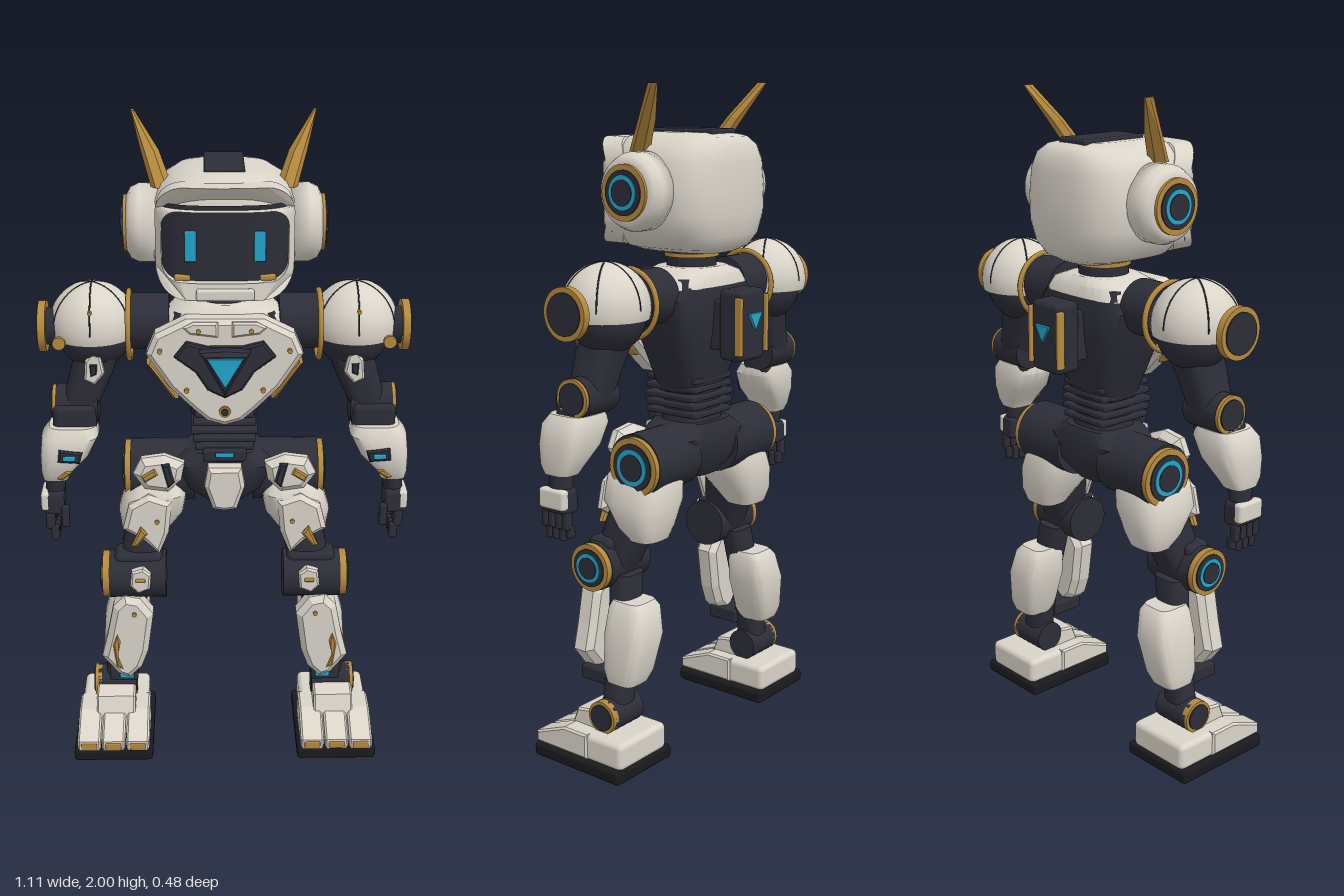
import * as THREE from 'three';
import { toCreasedNormals } from 'three/addons/utils/BufferGeometryUtils.js';
import { RoundedBoxGeometry } from 'three/addons/geometries/RoundedBoxGeometry.js';

const mat = (name, color) => Object.assign(new THREE.MeshStandardMaterial({ color }), { name });
const white = mat('warm white armour', 0xdad4c9), dark = mat('charcoal frame', 0x2c2d37);
const gold = mat('gold trim', 0xb5893c), cyan = mat('cyan light', 0x20a5cb), black = mat('black rubber', 0x1a1a1e);

// Superellipse cross-sections [y, cx, cz, halfWidth, halfDepth], listed bottom to top
function loft(rings, pow = 3, n = 32, crease = 0.7) {
  const pos = [], idx = [], e = 2 / pow, last = rings.length - 1;
  const s = v => Math.sign(v) * Math.pow(Math.abs(v), e);
  for (const [y, cx, cz, w, d] of rings) for (let i = 0; i < n; i++) {
    const a = (i / n) * Math.PI * 2;
    pos.push(cx + w * s(Math.cos(a)), y, cz + d * s(Math.sin(a)));
  }
  for (let j = 0; j < last; j++) for (let i = 0; i < n; i++) {
    const p = j * n + i, q = j * n + (i + 1) % n;
    idx.push(p, p + n, q, q, p + n, q + n);
  }
  const b = rings[0], t = rings[last], c = (last + 1) * n;
  pos.push(b[1], b[0], b[2], t[1], t[0], t[2]);
  for (let i = 0; i < n; i++) {
    const k = (i + 1) % n;
    idx.push(c, i, k, c + 1, last * n + k, last * n + i);
  }
  const g = new THREE.BufferGeometry();
  g.setAttribute('position', new THREE.Float32BufferAttribute(pos, 3));
  g.setIndex(idx);
  return toCreasedNormals(g, crease);
}
// Bevelled plate from an outline in XY, from z to z + depth; sym mirrors a half outline
function plate(pts, z, depth, sym = false, bevel = 0.006) {
  if (sym) pts = pts.concat(pts.filter(p => p[0] > 0).reverse().map(([x, y]) => [-x, y]));
  const b = Math.min(bevel, depth * 0.4);
  return new THREE.ExtrudeGeometry(new THREE.Shape(pts.map(p => new THREE.Vector2(...p))),
    { depth: depth - 2 * b, bevelThickness: b, bevelSize: b, bevelOffset: -b, bevelSegments: 1 }).translate(0, 0, z + b);
}
const box = (w, h, d, x, y, z, r = 0.008) => new RoundedBoxGeometry(w, h, d, 2, Math.min(r, w / 3, h / 3, d / 3)).translate(x, y, z);
const rod = (r, x0, x1, y, z) => new THREE.CylinderGeometry(r, r, x1 - x0, 36).rotateZ(Math.PI / 2).translate((x0 + x1) / 2, y, z);
const hoop = (r, tube, x, y, z) => new THREE.TorusGeometry(r, tube, 8, 40).rotateY(Math.PI / 2).translate(x, y, z);
const stud = (r, x, y, z) => new THREE.CylinderGeometry(r, r, 0.014, 12).rotateX(Math.PI / 2).translate(x, y, z);

function mirrored(geo) {
  const g = geo.clone().scale(-1, 1, 1);
  const src = g.index ? Array.from(g.index.array) : Array.from({ length: g.attributes.position.count }, (_, i) => i);
  for (let i = 0; i < src.length; i += 3) [src[i], src[i + 1]] = [src[i + 1], src[i]];
  return g.setIndex(src);
}
function roundRect(C, w, y0, y1, r) {
  const s = new C();
  s.moveTo(-w + r, y0).lineTo(w - r, y0).absarc(w - r, y0 + r, r, -Math.PI / 2, 0);
  s.lineTo(w, y1 - r).absarc(w - r, y1 - r, r, 0, Math.PI / 2);
  for (let i = 1; i < 12; i++) s.lineTo((w - r) * (1 - i / 6), y1);
  s.absarc(-w + r, y1 - r, r, Math.PI / 2, Math.PI).lineTo(-w, y0 + r);
  s.absarc(-w + r, y0 + r, r, Math.PI, Math.PI * 1.5);
  for (let i = 1; i < 12; i++) s.lineTo((w - r) * (-1 + i / 6), y0);
  return s;
}
// Wrap a geometry around the curved front of the head
const faceZ = x => 0.012 + 0.193 * Math.cbrt(Math.max(0, 1 - Math.abs(x / 0.21) ** 3));
function wrap(g) {
  const p = g.attributes.position;
  for (let i = 0; i < p.count; i++) p.setZ(i, p.getZ(i) + faceZ(p.getX(i)));
  g.computeVertexNormals();
  return g;
}

export function createModel() {
  const root = new THREE.Group();
  root.name = 'robot';
  const part = name => { const g = new THREE.Group(); g.name = name; root.add(g); return g; };
  const add = (group, name, geo, m) => {
    const o = new THREE.Mesh(geo, m); o.name = name; group.add(o); return o;
  };
  const head = part('head'), torso = part('torso'), pelvis = part('pelvis');
  const arms = [part('leftArm'), part('rightArm')], legs = [part('leftLeg'), part('rightLeg')];
  // Adds a part and its mirror image
  const pair = (group, name, geo, m) => {
    const [l, r] = Array.isArray(group) ? group : [group, group];
    add(l, name + 'Left', geo, m);
    add(r, name + 'Right', mirrored(geo), m);
  };
  const cap = (group, name, x, y, z, r, light) => {
    pair(group, name + 'Rim', rod(r, x - 0.022, x, y, z), gold);
    pair(group, name + 'Face', rod(r * 0.8, x - 0.02, x + 0.004, y, z), dark);
    if (!light) return;
    pair(group, name + 'Light', rod(r * 0.62, x - 0.02, x + 0.007, y, z), cyan);
    pair(group, name + 'Core', rod(r * 0.46, x - 0.02, x + 0.01, y, z), dark);
  };

  // Head: shell, face frame, visor, eyes, ears and horns
  add(head, 'shell', loft([[1.52, 0, 0.012, 0.1, 0.14], [1.535, 0, 0.012, 0.15, 0.165], [1.57, 0, 0.012, 0.187, 0.183],
    [1.63, 0, 0.012, 0.207, 0.193], [1.7, 0, 0.012, 0.21, 0.193], [1.78, 0, 0.012, 0.2, 0.19], [1.825, 0, 0.012, 0.176, 0.182],
    [1.85, 0, 0.012, 0.135, 0.165], [1.862, 0, 0.012, 0.085, 0.12]], 3, 48, 1), white);
  const frame = roundRect(THREE.Shape, 0.192, 1.535, 1.848, 0.085);
  frame.holes.push(roundRect(THREE.Path, 0.175, 1.585, 1.782, 0.05));
  add(head, 'faceFrame', wrap(new THREE.ExtrudeGeometry(frame, { depth: 0.075, bevelEnabled: false, curveSegments: 10 }).translate(0, 0, -0.042)), white);
  add(head, 'visor', wrap(new THREE.PlaneGeometry(0.37, 0.22, 32, 1).translate(0, 1.685, 0.006)), dark);
  pair(head, 'eye', box(0.032, 0.085, 0.009, 0.095, 1.682, 0.207), cyan);
  pair(head, 'cheekTrim', box(0.045, 0.016, 0.02, 0.15, 1.59, 0.2).rotateZ(0.02), gold);
  add(head, 'chinBar', box(0.16, 0.032, 0.02, 0, 1.552, 0.232), white);
  add(head, 'crownPlate', box(0.114, 0.02, 0.225, 0, 1.862, -0.008), dark);
  pair(head, 'earPod', new THREE.LatheGeometry([[0, 0.18], [0.112, 0.18], [0.112, 0.24], [0.1, 0.265], [0.08, 0.275], [0, 0.275]]
    .map(p => new THREE.Vector2(...p)), 40).rotateZ(-Math.PI / 2).translate(0, 1.7, 0.02), white);
  cap(head, 'ear', 0.284, 1.7, 0.02, 0.08, true);
  pair(head, 'horn', loft([[1.81, 0.175, 0.05, 0.03, 0.03], [1.9, 0.208, -0.005, 0.026, 0.025], [2, 0.257, -0.068, 0.005, 0.018]], 2, 6, 0.1), gold);

  // Neck and torso
  add(torso, 'neck', new THREE.CylinderGeometry(0.075, 0.075, 0.09, 32).translate(0, 1.495, 0), dark);
  add(torso, 'neckRing', new THREE.CylinderGeometry(0.081, 0.081, 0.012, 32).translate(0, 1.508, 0), gold);
  add(torso, 'collar', loft([[1.42, 0, 0, 0.18, 0.12], [1.455, 0, 0, 0.15, 0.113], [1.475, 0, 0, 0.095, 0.09]]), white);
  add(torso, 'chestFrame', loft([[1.1, 0, 0, 0.09, 0.075], [1.18, 0, 0, 0.12, 0.095], [1.29, 0, 0, 0.165, 0.115],
    [1.39, 0, 0, 0.19, 0.122], [1.45, 0, 0, 0.15, 0.105]], 4), dark);
  add(torso, 'chestArmour', plate([[0, 1.13], [0.05, 1.145], [0.09, 1.18], [0.16, 1.25], [0.225, 1.35], [0.2, 1.41], [0.11, 1.455], [0, 1.455]], 0.09, 0.075, true, 0.014), white);
  add(torso, 'corePanel', plate([[0, 1.225], [0.05, 1.25], [0.085, 1.305], [0.145, 1.35], [0.11, 1.395], [0.05, 1.38], [0, 1.38]], 0.15, 0.035, true), dark);
  add(torso, 'coreHousing', plate([[0, 1.245], [0.072, 1.375], [0, 1.38]], 0.17, 0.058, true, 0.012), dark);
  add(torso, 'coreLight', plate([[0, 1.275], [0.052, 1.364]], 0.225, 0.009, true, 0.002), cyan);
  pair(torso, 'chestTrim', plate([[0.215, 1.32], [0.135, 1.21], [0.148, 1.21], [0.225, 1.32]], 0.09, 0.06), gold);
  pair(torso, 'collarPlate', plate([[0.02, 1.405], [0.1, 1.415], [0.12, 1.435], [0.09, 1.45], [0.02, 1.45]], 0.155, 0.018), white);
  [[0.075, 1.425], [0.185, 1.365], [0.11, 1.245]].forEach(([x, y]) => pair(torso, 'chestStud', stud(0.007, x, y, 0.17), gold));
  add(torso, 'sternumRing', stud(0.017, 0, 1.178, 0.165), gold);
  add(torso, 'sternumCore', stud(0.011, 0, 1.178, 0.169), dark);

  // Backpack
  add(torso, 'backMount', box(0.09, 0.15, 0.06, 0, 1.31, -0.13), dark);
  add(torso, 'backpack', box(0.12, 0.21, 0.085, 0, 1.315, -0.187, 0.016), dark);
  pair(torso, 'backpackTrim', box(0.012, 0.17, 0.026, 0.063, 1.315, -0.222), gold);
  add(torso, 'backpackLight', plate([[0, 1.3], [0.032, 1.352]], 0.23, 0.009, true, 0.002).rotateY(Math.PI), cyan);

  // Waist with stacked ribs
  add(pelvis, 'waist', loft([[0.95, 0, 0, 0.1, 0.085], [1.04, 0, 0, 0.08, 0.075], [1.14, 0, 0, 0.085, 0.075]]), dark);
  for (let i = 0; i < 5; i++) add(pelvis, 'waistRib', box(0.2 - 0.012 * Math.abs(i - 2), 0.018, 0.19, 0, 1.035 + i * 0.026, 0.01), dark);
  add(pelvis, 'hipFrame', loft([[0.84, 0, 0, 0.055, 0.07], [0.89, 0, 0, 0.12, 0.1], [0.97, 0, 0, 0.16, 0.11], [1.01, 0, 0, 0.1, 0.095]], 4), dark);
  add(pelvis, 'beltLight', box(0.055, 0.014, 0.009, 0, 1.02, 0.124), cyan);
  add(pelvis, 'beltPanel', box(0.13, 0.04, 0.04, 0, 1.015, 0.1), dark);
  add(pelvis, 'frontGuard', plate([[0, 0.845], [0.035, 0.85], [0.06, 0.925], [0.05, 0.985], [0, 0.985]], 0.09, 0.06, true, 0.012), white);
  pair(pelvis, 'hipJoint', rod(0.095, 0.09, 0.285, 0.915, -0.015), dark);
  pair(pelvis, 'hipArmour', plate([[0.12, 0.985], [0.13, 0.93], [0.17, 0.89], [0.24, 0.9], [0.275, 0.95], [0.25, 1], [0.18, 1.01]], 0.06, 0.06, false, 0.02), white);
  pair(pelvis, 'hipStripe', plate([[0.165, 0.99], [0.15, 0.93], [0.17, 0.91], [0.19, 0.99]], 0.11, 0.016), dark);
  pair(pelvis, 'hipTrim', plate([[0.2, 0.955], [0.24, 0.93], [0.25, 0.95], [0.21, 0.975]], 0.115, 0.012), gold);
  cap(pelvis, 'hip', 0.302, 0.915, -0.02, 0.088, true);

  // Shoulders
  pair(arms, 'shoulderMount', rod(0.082, 0.16, 0.275, 1.4, 0), dark);
  pair(arms, 'shoulderRing', hoop(0.1, 0.008, 0.278, 1.39, 0.005), gold);
  pair(arms, 'shoulderJoint', new THREE.SphereGeometry(0.11, 32, 20).translate(0.38, 1.37, 0), dark);
  pair(arms, 'shoulderDome', new THREE.SphereGeometry(0.127, 40, 20, 0, Math.PI * 2, 0, Math.PI * 0.58)
    .translate(0.385, 1.393, 0), Object.assign(white, { side: THREE.DoubleSide }));
  for (let i = 0; i < 3; i++) pair(arms, 'shoulderSeam', new THREE.TorusGeometry(0.1265, 0.0025, 6, 40, Math.PI)
    .rotateY(Math.PI / 6 + i * Math.PI / 3).translate(0.385, 1.393, 0), dark);
  pair(arms, 'shoulderAxle', rod(0.055, 0.47, 0.53, 1.39, 0.015), dark);
  cap(arms, 'shoulder', 0.54, 1.39, 0.015, 0.075, false);
  pair(arms, 'shoulderBolt', stud(0.019, 0.475, 1.375, 0.125), gold);
  pair(arms, 'shoulderStud', stud(0.006, 0.385, 1.46, 0.112), gold);

  // Upper arm and elbow
  pair(arms, 'upperArm', loft([[1.15, 0.43, 0.02, 0.055, 0.058], [1.26, 0.39, 0.015, 0.065, 0.068], [1.36, 0.36, 0, 0.07, 0.075]]), dark);
  pair(arms, 'upperArmGuard', plate([[0.36, 1.325], [0.35, 1.27], [0.38, 1.235], [0.41, 1.25], [0.405, 1.31], [0.385, 1.335]], 0.06, 0.04), white);
  pair(arms, 'upperArmSlot', plate([[0.37, 1.3], [0.372, 1.27], [0.39, 1.262], [0.392, 1.3]], 0.095, 0.009), dark);
  pair(arms, 'elbow', rod(0.058, 0.375, 0.5, 1.15, 0.02), dark);
  pair(arms, 'elbowBlock', box(0.13, 0.09, 0.1, 0.445, 1.12, 0.04, 0.02), dark);
  cap(arms, 'elbow', 0.51, 1.15, 0.02, 0.056, false);

  // Forearm and hand
  pair(arms, 'forearm', loft([[0.93, 0.508, 0.065, 0.038, 0.045], [0.955, 0.504, 0.065, 0.046, 0.06], [1.01, 0.478, 0.06, 0.073, 0.076],
    [1.07, 0.46, 0.055, 0.085, 0.078], [1.1, 0.452, 0.05, 0.07, 0.064]], 3.5), white);
  pair(arms, 'forearmPanel', plate([[0.42, 1.035], [0.43, 1], [0.495, 1.005], [0.49, 1.045]], 0.12, 0.022), dark);
  pair(arms, 'forearmLight', box(0.038, 0.014, 0.009, 0.46, 1.02, 0.144), cyan);
  pair(arms, 'forearmTrim', plate([[0.455, 0.965], [0.485, 0.94], [0.5, 0.945], [0.475, 0.975]], 0.11, 0.02), gold);
  pair(arms, 'wrist', loft([[0.87, 0.515, 0.065, 0.028, 0.035], [0.94, 0.508, 0.065, 0.032, 0.04]], 2), dark);
  pair(arms, 'palm', box(0.06, 0.075, 0.095, 0.515, 0.855, 0.068, 0.014), dark);
  pair(arms, 'handGuard', box(0.03, 0.06, 0.095, 0.54, 0.862, 0.068, 0.01), white);
  for (let i = 0; i < 4; i++) {
    const z = 0.03 + i * 0.026, d = i === 0 ? 0.012 : 0;
    pair(arms, 'fingerBase', box(0.028, 0.052, 0.022, 0.528, 0.8, z), dark);
    pair(arms, 'fingerTip', box(0.025, 0.05 - d, 0.021, 0.515, 0.76 + d / 2, z), dark);
  }
  pair(arms, 'thumb', box(0.024, 0.07, 0.026, 0.482, 0.815, 0.11), dark);

  // Thigh and knee
  pair(legs, 'thighCore', loft([[0.58, 0.27, 0.07, 0.055, 0.05], [0.7, 0.25, 0.04, 0.065, 0.075], [0.85, 0.21, 0, 0.07, 0.08]]), dark);
  pair(legs, 'thighArmour', loft([[0.69, 0.245, -0.03, 0.06, 0.05], [0.73, 0.243, -0.02, 0.078, 0.075], [0.8, 0.225, 0.005, 0.1, 0.108],
    [0.87, 0.208, 0.01, 0.095, 0.105], [0.905, 0.2, 0.005, 0.072, 0.085]], 3), white);
  pair(legs, 'thighPlate', plate([[0.16, 0.86], [0.17, 0.76], [0.2, 0.685], [0.245, 0.73], [0.31, 0.77], [0.29, 0.85], [0.23, 0.885]], 0.085, 0.04, false, 0.014), white);
  pair(legs, 'thighTrim', plate([[0.235, 0.76], [0.27, 0.715], [0.285, 0.72], [0.255, 0.785]], 0.11, 0.025), gold);
  pair(legs, 'thighStud', stud(0.007, 0.205, 0.8, 0.125), gold);
  pair(legs, 'knee', rod(0.074, 0.18, 0.355, 0.605, 0.09), dark);
  pair(legs, 'kneeBlock', box(0.15, 0.13, 0.09, 0.265, 0.625, 0.085, 0.02), dark);
  pair(legs, 'kneeCap', plate([[0.225, 0.64], [0.23, 0.59], [0.265, 0.575], [0.29, 0.6], [0.285, 0.65], [0.25, 0.66]], 0.14, 0.032), white);
  pair(legs, 'kneeTrim', box(0.03, 0.012, 0.012, 0.258, 0.622, 0.172), gold);
  cap(legs, 'knee', 0.375, 0.605, 0.09, 0.072, true);

  // Shin, calf and ankle
  pair(legs, 'shinBone', loft([[0.15, 0.35, 0.01, 0.045, 0.04], [0.35, 0.315, 0.01, 0.045, 0.04], [0.58, 0.275, 0.03, 0.05, 0.04]]), dark);
  pair(legs, 'calf', loft([[0.265, 0.335, -0.02, 0.05, 0.05], [0.3, 0.33, -0.022, 0.06, 0.064], [0.41, 0.31, -0.025, 0.072, 0.075],
    [0.49, 0.298, -0.02, 0.062, 0.066], [0.51, 0.295, -0.015, 0.05, 0.052]], 4), white);
  pair(legs, 'shinPlate', plate([[0.262, 0.545], [0.222, 0.49], [0.24, 0.36], [0.262, 0.3], [0.3, 0.262], [0.335, 0.275], [0.385, 0.34],
    [0.365, 0.42], [0.345, 0.52], [0.31, 0.555]], 0.085, 0.08, false, 0.018), white);
  pair(legs, 'shinTrim', plate([[0.335, 0.43], [0.35, 0.39], [0.34, 0.31], [0.318, 0.3], [0.335, 0.35], [0.325, 0.4]], 0.155, 0.015), gold);
  pair(legs, 'shinStud', stud(0.007, 0.28, 0.5, 0.165), gold);
  pair(legs, 'shinBracket', box(0.09, 0.045, 0.11, 0.32, 0.262, 0.085), dark);
  pair(legs, 'shinLight', box(0.045, 0.015, 0.009, 0.31, 0.262, 0.143), cyan);
  pair(legs, 'ankle', rod(0.05, 0.285, 0.41, 0.165, 0.01), dark);
  cap(legs, 'ankle', 0.42, 0.165, 0.01, 0.05, false);

  // Foot with three toes
  const side = (pts, w, x) => plate(pts, -w / 2, w).rotateY(-Math.PI / 2).translate(x, 0, 0);
  pair(legs, 'sole', box(0.25, 0.042, 0.34, 0.355, 0.021, 0.065, 0.012), black);
  pair(legs, 'heel', box(0.215, 0.085, 0.16, 0.355, 0.078, -0.02, 0.018), white);
  pair(legs, 'instep', side([[-0.01, 0.1], [0.14, 0.1], [0.115, 0.165], [0.035, 0.178]], 0.125, 0.35), white);
  for (let i = -1; i <= 1; i++) {
    const x = 0.355 + i * 0.077;
    pair(legs, 'toe', side([[0.03, 0.042], [0.235, 0.042], [0.235, 0.075], [0.12, 0.12], [0.03, 0.12]], 0.073, x), white);
    pair(legs, 'toeTrim', box(0.05, 0.024, 0.01, x, 0.056, 0.233), gold);
  }
  return root;
}
